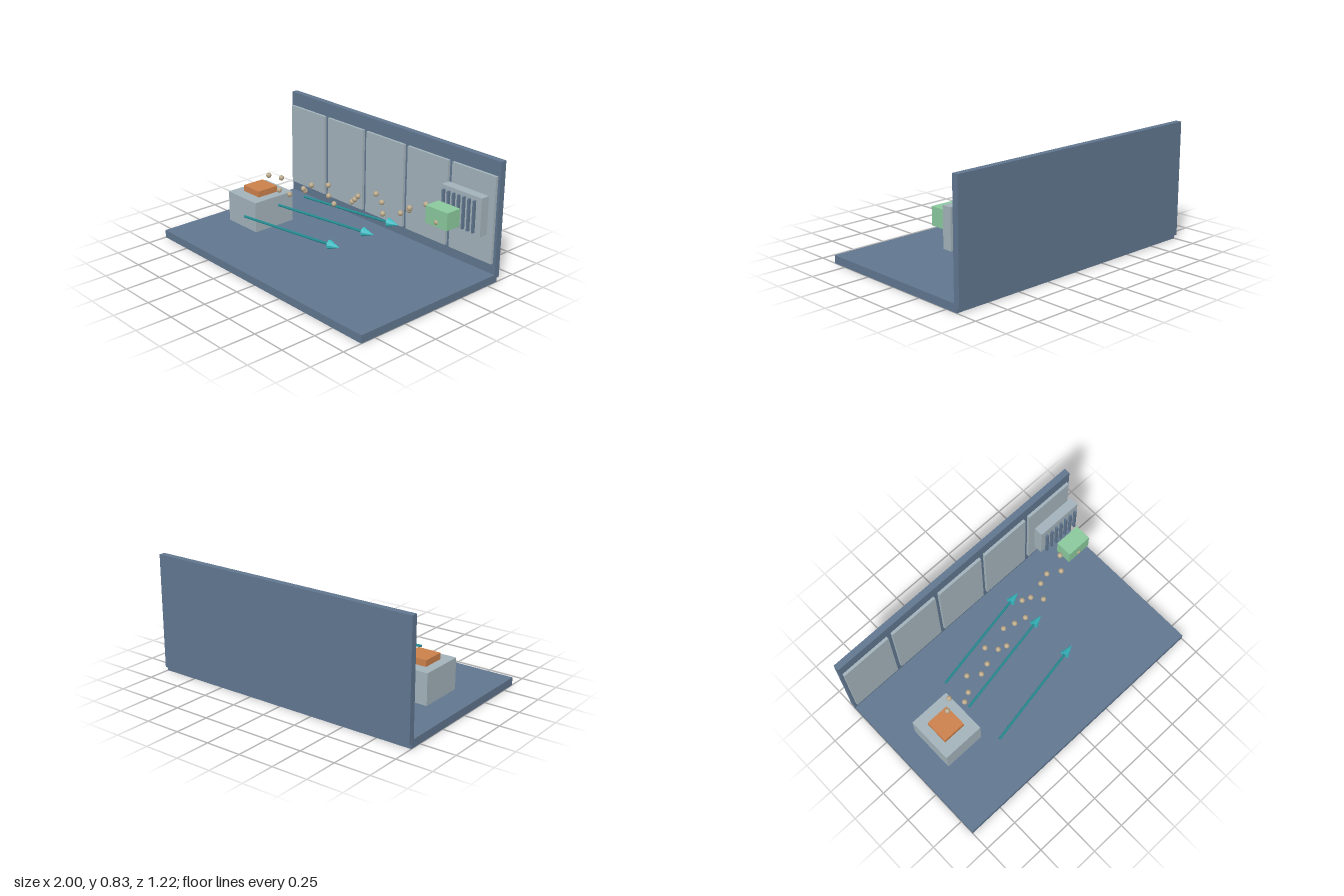
import * as THREE from 'three';

const mat = (name, color) => {
  const m = new THREE.MeshStandardMaterial({ color });
  m.name = name;
  return m;
};

export function createModel() {
  const root = new THREE.Group();
  root.name = 'airflowRoom';
  const slate = mat('slate blue', 0x60768f);
  const grey = mat('pale grey', 0xa2b2ba);
  const orange = mat('orange', 0xcb804a);
  const green = mat('soft green', 0x8ac89c);
  const cyan = mat('cyan', 0x37b9c0);
  const teal = mat('dark teal', 0x1f888e);
  const sand = mat('sand', 0xbaa98a);

  // Box given by its extents on each axis
  const box = (name, material, [x0, x1], [y0, y1], [z0, z1], parent = root) => {
    const mesh = new THREE.Mesh(new THREE.BoxGeometry(x1 - x0, y1 - y0, z1 - z0), material);
    mesh.position.set((x0 + x1) / 2, (y0 + y1) / 2, (z0 + z1) / 2);
    mesh.name = name;
    parent.add(mesh);
  };
  const group = (name) => {
    const g = new THREE.Group();
    g.name = name;
    root.add(g);
    return g;
  };
  // Faceted normals
  const flat = (geometry) => {
    const g = geometry.toNonIndexed();
    g.computeVertexNormals();
    return g;
  };

  // Room shell
  box('floor', slate, [-1, 1], [0, 0.055], [-0.59, 0.61]);
  box('backWall', slate, [-1, 1], [0.03, 0.83], [-0.61, -0.566]);
  const panels = group('wallPanels');
  for (let i = 0; i < 5; i++) {
    const x = -0.802 + i * 0.4;
    box('wallPanel', grey, [x - 0.183, x + 0.183], [0.13, 0.73], [-0.568, -0.546], panels);
  }

  // Source unit with its heater plate
  box('sourceUnit', grey, [-0.82, -0.52], [0.07, 0.288], [-0.153, 0.18]);
  box('heaterPlate', orange, [-0.755, -0.588], [0.288, 0.332], [-0.07, 0.096]);

  // Vent with upright slats, and the collector in front of it
  const vent = group('vent');
  box('ventBody', grey, [0.63, 0.965], [0.346, 0.61], [-0.506, -0.44], vent);
  for (let i = 0; i < 7; i++) {
    const x = 0.664 + i * 0.0432;
    box('ventSlat', slate, [x - 0.007, x + 0.007], [0.37, 0.59], [-0.428, -0.409], vent);
  }
  box('collector', green, [0.69, 0.873], [0.42, 0.54], [-0.347, -0.23]);

  // Flow arrows, built along +y and then aimed
  const heading = new THREE.Vector3(0.8, 0, -0.14).normalize();
  const shaftGeo = flat(new THREE.CylinderGeometry(0.009, 0.009, 0.73, 8));
  const headGeo = flat(new THREE.ConeGeometry(0.032, 0.085, 10));
  for (const z of [0.313, 0.013, -0.219]) {
    const arrow = group('flowArrow');
    const shaft = new THREE.Mesh(shaftGeo, teal);
    shaft.name = 'arrowShaft';
    shaft.position.y = 0.365;
    const head = new THREE.Mesh(headGeo, cyan);
    head.name = 'arrowHead';
    head.position.y = 0.7725;
    arrow.add(shaft, head);
    arrow.position.set(-0.47, 0.245, z);
    arrow.quaternion.setFromUnitVectors(new THREE.Vector3(0, 1, 0), heading);
  }

  // Drifting particles: evenly spaced in x, with [y, z] for each
  const drift = [
    [0.415, -0.021], [0.4, -0.08], [0.349, -0.005], [0.326, -0.043], [0.349, -0.128],
    [0.404, -0.056], [0.446, -0.07], [0.441, -0.163], [0.399, -0.107], [0.364, -0.096],
    [0.373, -0.198], [0.421, -0.16], [0.473, -0.126], [0.482, -0.227], [0.446, -0.214],
    [0.403, -0.158], [0.401, -0.254], [0.441, -0.265], [0.495, -0.198], [0.518, -0.278],
    [0.497, -0.29], [0.45, -0.238],
  ];
  const particles = group('particles');
  const ballGeo = new THREE.SphereGeometry(0.0185, 12, 8);
  drift.forEach(([y, z], i) => {
    const ball = new THREE.Mesh(ballGeo, sand);
    ball.name = 'particle';
    ball.position.set(-0.618 + i * 0.0666, y, z);
    particles.add(ball);
  });

  return root;
}
